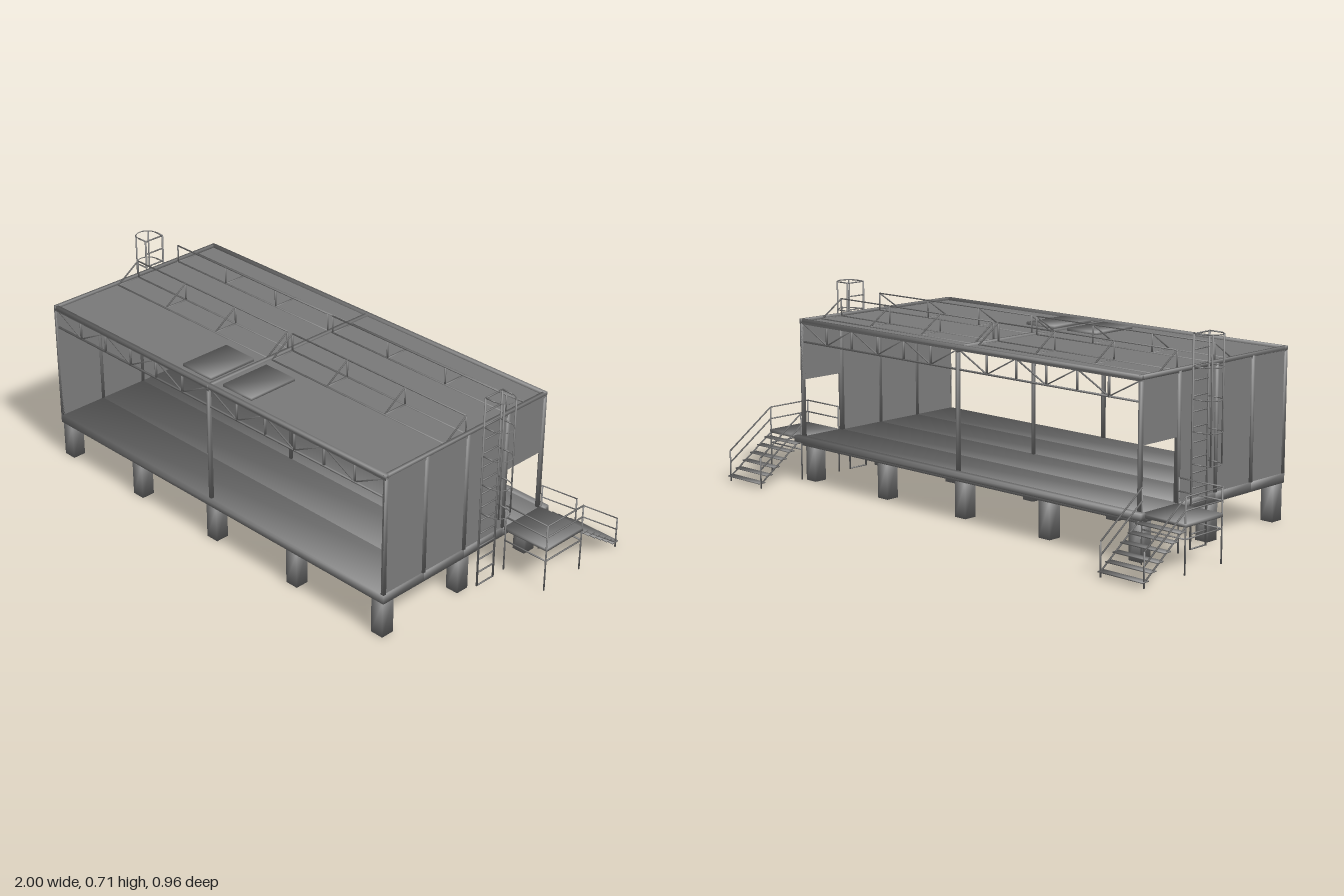
import * as THREE from 'three';
import { mergeGeometries } from 'three/addons/utils/BufferGeometryUtils.js';

const material = new THREE.MeshStandardMaterial({ color: 0x7a7a7a });

// point every corner normal diagonally outward, for rounded shading on a centred box
function soften(g) {
  const p = g.attributes.position, n = g.attributes.normal, k = 1 / Math.sqrt(3);
  for (let i = 0; i < p.count; i++)
    n.setXYZ(i, Math.sign(p.getX(i)) * k, Math.sign(p.getY(i)) * k, Math.sign(p.getZ(i)) * k);
  return g;
}

// box given by its min and max corners, with flat or softened shading
function box(x0, x1, y0, y1, z0, z1, soft = false) {
  const g = new THREE.BoxGeometry(x1 - x0, y1 - y0, z1 - z0);
  if (soft) soften(g);
  return g.translate((x0 + x1) / 2, (y0 + y1) / 2, (z0 + z1) / 2);
}
const softBox = (...b) => box(...b, true);

// thin square bar between two points
function bar(a, b, t = 0.004) {
  const p = new THREE.Vector3(...a), q = new THREE.Vector3(...b);
  const d = q.clone().sub(p), len = d.length();
  const g = soften(new THREE.BoxGeometry(t, len, t));
  g.applyQuaternion(new THREE.Quaternion().setFromUnitVectors(new THREE.Vector3(0, 1, 0), d.normalize()));
  return g.translate((p.x + q.x) / 2, (p.y + q.y) / 2, (p.z + q.z) / 2);
}

function part(parent, name, geometries) {
  const mesh = new THREE.Mesh(mergeGeometries(geometries), material);
  mesh.name = name;
  parent.add(mesh);
}

const X = 0.815, ZF = 0.48, ZB = -0.28, FLOOR = 0.165, TOP = 0.605;
const bays = [0.48, 0.293, 0.102, -0.09, -0.28];

function shell(group) {
  // foundation piers: five columns in three rows
  const piers = [];
  for (const x of [-0.784, -0.393, 0, 0.393, 0.784])
    for (const z of [0.451, 0.096, -0.242])
      piers.push(softBox(x - 0.025, x + 0.025, 0, 0.135, z - 0.025, z + 0.025));
  part(group, 'piers', piers);

  // floor in four long strips, with an edge beam along the back
  const floor = [];
  for (let i = 0; i < 4; i++) floor.push(softBox(-X, X, 0.132, FLOOR, bays[i + 1], bays[i]));
  part(group, 'floor', floor);
  part(group, 'backEdgeBeam', [softBox(-0.836, 0.836, 0.147, 0.17, -0.3, -0.278)]);

  // roof panels, raised edge frame and centre joint
  part(group, 'roofPanels', [box(-X, 0, 0.586, 0.594, ZB, ZF), box(0, X, 0.586, 0.594, ZB, ZF)]);
  part(group, 'roofFrame', [
    softBox(-X, X, 0.59, TOP, ZF - 0.012, ZF), softBox(-X, X, 0.59, TOP, ZB, ZB + 0.012),
    softBox(-X, -X + 0.012, 0.59, TOP, ZB, ZF), softBox(X - 0.012, X, 0.59, TOP, ZB, ZF),
    softBox(-0.006, 0.006, 0.58, 0.602, ZB, ZF),
  ]);
  part(group, 'roofHatches', [
    softBox(-0.165, -0.025, 0.592, 0.604, 0.245, 0.44),
    softBox(0.035, 0.172, 0.592, 0.604, 0.245, 0.44),
  ]);

  // posts at the corners, the middle of both openings and inside
  const posts = [];
  for (const x of [-X + 0.006, 0, X - 0.006])
    for (const z of [ZF - 0.006, ZB + 0.006])
      posts.push(softBox(x - 0.006, x + 0.006, FLOOR, 0.595, z - 0.006, z + 0.006));
  posts.push(softBox(-0.005, 0.005, FLOOR, 0.59, 0.095, 0.105));
  part(group, 'posts', posts);
}

// lattice truss along the top of each open long side
function truss(group, z) {
  const g = [], yT = 0.59, yB = 0.52, step = 0.81 / 6;
  g.push(bar([-0.81, yB, z], [0.81, yB, z], 0.006), bar([-0.81, yT, z], [0.81, yT, z], 0.006));
  for (let i = -6; i <= 6; i++) {
    const x = i * step, even = i % 2 === 0;
    g.push(bar([x, yB, z], [x, yT, z], 0.006));
    if (i < 6) g.push(bar([x, even ? yT : yB, z], [x + step, even ? yB : yT, z]));
  }
  part(group, z > 0 ? 'frontTruss' : 'backTruss', g);
}

// roof guard rail with posts, sloping braces and a foot bar
function roofRail(group, z, dir) {
  const g = [], foot = z + 0.096 * dir, yT = 0.66, yB = 0.594;
  for (const s of [-1, 1]) {
    const x0 = 0.012 * s, x1 = 0.8 * s;
    g.push(bar([x0, yT, z], [x1, yT, z]), bar([x0, yB, z], [x1, yB, z], 0.006), bar([x0, yB, foot], [x1, yB, foot], 0.006));
    for (let i = 0; i < 4; i++) {
      const x = x0 + (x1 - x0) * i / 3;
      g.push(bar([x, yB, z], [x, yT, z]), bar([x, yT, z], [x, yB, foot]), bar([x, yB, z], [x, yB, foot], 0.006));
    }
  }
  part(group, dir > 0 ? 'frontRoofRail' : 'backRoofRail', g);
}

// side wall, caged ladder, landing and stairs for the +x side
function sideAssembly(name) {
  const side = new THREE.Group();
  side.name = name;

  // wall panels with a doorway in the rear bay
  part(side, 'wall', [
    box(0.803, 0.81, FLOOR, 0.595, bays[3], ZF),
    box(0.803, 0.81, 0.38, 0.595, ZB, bays[3]),
  ]);
  part(side, 'wallRibs', bays.slice(1, 4).map(z => softBox(0.8, 0.816, FLOOR, 0.595, z - 0.006, z + 0.006)));

  // ladder rails and rungs
  const xl = 0.825, zc = 0.002, r = 0.04, ladder = [];
  for (const s of [-1, 1]) ladder.push(bar([xl, 0, zc + r * s], [xl, 0.71, zc + r * s], 0.005));
  for (let i = 0; i <= 14; i++) {
    const y = 0.002 + i * 0.0505;
    ladder.push(bar([xl, y, zc - r], [xl, y, zc + r]));
  }
  part(side, 'ladder', ladder);

  // cage hoops and uprights
  const cage = [], xc = 0.865;
  for (let i = 0; i < 5; i++) {
    const y = 0.286 + i * 0.106;
    for (const s of [-1, 1]) cage.push(bar([xl, y, zc + r * s], [xc, y, zc + r * s]));
    cage.push(new THREE.TorusGeometry(r, 0.0022, 4, 12, Math.PI)
      .rotateX(Math.PI / 2).rotateY(Math.PI / 2).translate(xc, y, zc));
  }
  for (const s of [-1, 1]) cage.push(bar([0.893, 0.286, zc + 0.029 * s], [0.893, 0.71, zc + 0.029 * s]));
  part(side, 'ladderCage', cage);

  // landing with under-bracing and handrails
  const xi = 0.822, xo = 0.997, zf = -0.096, zb = -0.278;
  part(side, 'landing', [softBox(0.815, 1, 0.153, 0.165, -0.28, -0.095)]);
  const rails = [];
  for (const x of [xi, xo])
    for (const z of [zf, zb]) rails.push(bar([x, 0, z], [x, 0.252, z]));
  for (const y of [0.25, 0.206, 0.115])
    rails.push(bar([xo, y, zf], [xo, y, zb]), bar([xi, y, zf], [xo, y, zf]));
  rails.push(bar([xi, 0.115, zb], [xo, 0.115, zb]));
  // sloping stair rails, stringers and end posts
  const ze = -0.473;
  for (const x of [xi, xo]) {
    for (const [y0, y1] of [[0.25, 0.114], [0.206, 0.07], [0.155, 0.018]])
      rails.push(bar([x, y0, zb], [x, y1, ze]));
    rails.push(bar([x, 0, ze], [x, 0.115, ze]));
  }
  part(side, 'handrails', rails);

  // stair treads
  const treads = [];
  for (let i = 0; i < 6; i++) {
    const y = 0.14 - i * 0.024, z = -0.295 - i * 0.0348;
    treads.push(softBox(0.82, 1, y - 0.002, y + 0.002, z - 0.015, z + 0.015));
  }
  part(side, 'stairTreads', treads);
  return side;
}

export function createModel() {
  const model = new THREE.Group();
  model.name = 'openPavilion';
  shell(model);
  truss(model, ZF - 0.008);
  truss(model, ZB + 0.008);
  roofRail(model, 0.102, 1);
  roofRail(model, -0.09, -1);
  const left = sideAssembly('leftSide');
  const right = sideAssembly('rightSide');
  right.scale.x = -1;
  model.add(left, right);
  return model;
}
